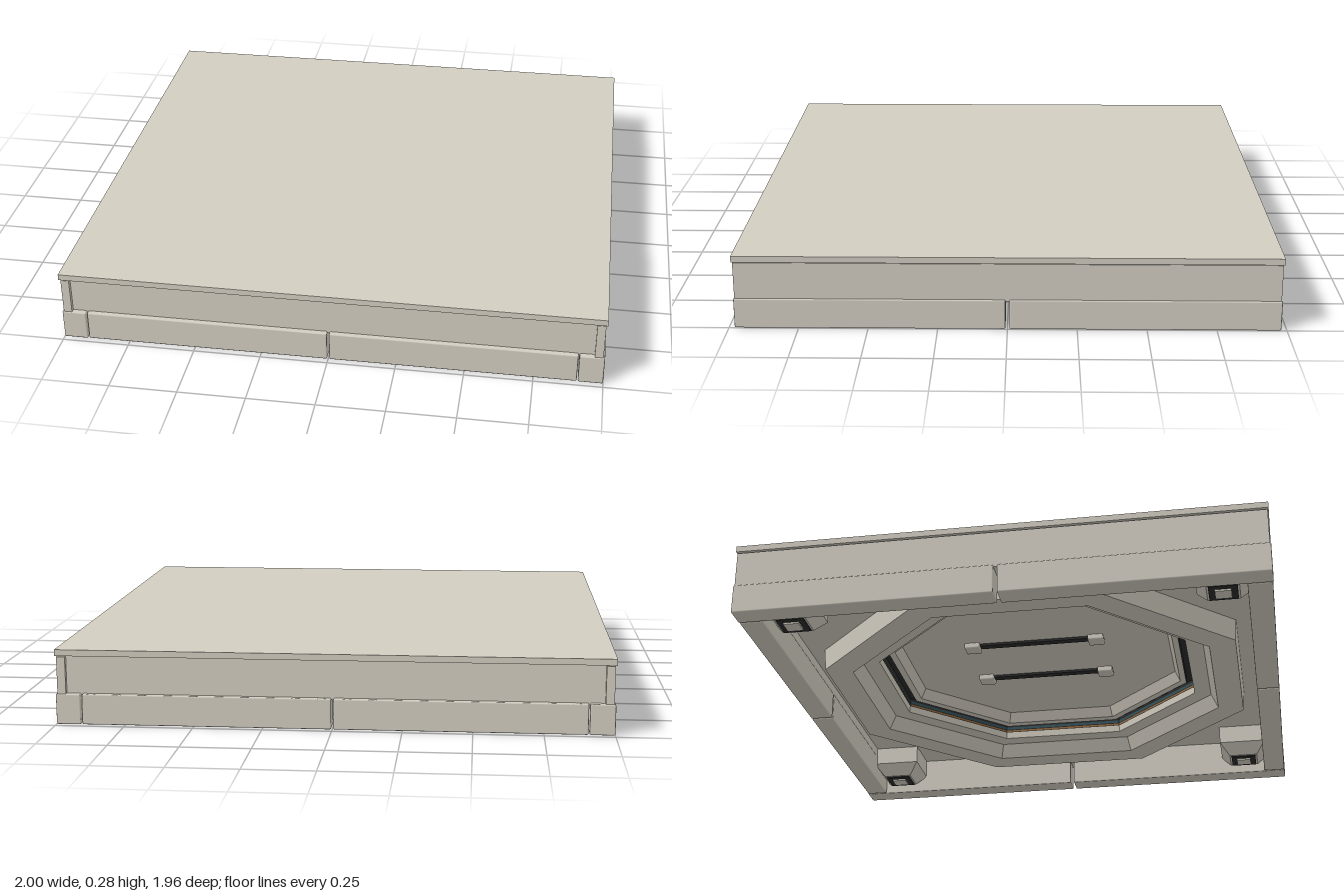
import * as THREE from 'three';
import { RoundedBoxGeometry } from 'three/addons/geometries/RoundedBoxGeometry.js';

const stone = new THREE.MeshStandardMaterial({ name: 'warm grey', color: 0xd2cdc1 });
const dark = new THREE.MeshStandardMaterial({ name: 'dark recess', color: 0x2b2b2b });
const brown = new THREE.MeshStandardMaterial({ name: 'brown trim', color: 0x94683a });
const teal = new THREE.MeshStandardMaterial({ name: 'teal trim', color: 0x35525a });

export function createModel() {
  const model = new THREE.Group();
  model.name = 'floorTile';

  const add = (name, geometry, material, x = 0, y = 0, z = 0) => {
    const mesh = new THREE.Mesh(geometry, material);
    mesh.name = name;
    mesh.position.set(x, y, z);
    model.add(mesh);
    return mesh;
  };
  // box given by its lower and upper corners
  const block = (name, material, [x0, y0, z0], [x1, y1, z1], bevel = 0) => {
    const size = [x1 - x0, y1 - y0, z1 - z0];
    const geometry = bevel
      ? new RoundedBoxGeometry(...size, 1, bevel)
      : new THREE.BoxGeometry(...size);
    return add(name, geometry, material, (x0 + x1) / 2, (y0 + y1) / 2, (z0 + z1) / 2);
  };
  // faceted sweep with flat sides; profile is [distance to side, height], running outward
  const faceted = (name, material, sides, profile, x = 0, z = 0) => {
    const half = Math.PI / sides;
    const points = profile.map(([r, y]) => new THREE.Vector2(r / Math.cos(half), y));
    const geometry = new THREE.LatheGeometry(points, sides, half).toNonIndexed();
    geometry.computeVertexNormals();
    return add(name, geometry, material, x, 0, z);
  };

  // top slab over a narrow shadow gap
  block('topSlab', stone, [-1, 0.252, -0.98], [1, 0.275, 0.98]);
  block('slabNeck', stone, [-0.975, 0.244, -0.945], [0.975, 0.253, 0.945]);

  // body with an octagonal well open to the underside
  const outline = new THREE.Shape();
  outline.moveTo(-0.95, -0.94).lineTo(0.95, -0.94).lineTo(0.95, 0.94).lineTo(-0.95, 0.94).closePath();
  const well = new THREE.Path();
  for (let i = 0; i < 8; i++) {
    const a = -(i + 0.5) * Math.PI / 4;
    const r = 0.75 / Math.cos(Math.PI / 8);
    if (i) well.lineTo(r * Math.cos(a), r * Math.sin(a));
    else well.moveTo(r * Math.cos(a), r * Math.sin(a));
  }
  well.closePath();
  outline.holes.push(well);
  const body = new THREE.ExtrudeGeometry(outline, { depth: 0.095, bevelEnabled: false });
  body.rotateX(-Math.PI / 2);
  add('body', body, stone, 0, 0.15, 0);

  for (const s of [-1, 1]) {
    // upper walls: full-length sides, recessed front and back panels between them
    add('sideWall', new THREE.BoxGeometry(0.031, 0.143, 1.952), stone, s * 0.9785, 0.1765, 0);
    add('innerWall', new THREE.BoxGeometry(0.054, 0.06, 1.85), stone, s * 0.937, 0.135, 0);
    add('endPanel', new THREE.BoxGeometry(1.928, 0.143, 0.07), stone, 0, 0.1765, s * 0.925);

    for (const t of [-1, 1]) {
      // skirt rails, two on each edge with a seam in the middle
      add('sideRail', new RoundedBoxGeometry(0.09, 0.112, 0.973, 1, 0.005), stone, s * 0.955, 0.056, t * 0.4935);
      add('endRail', new RoundedBoxGeometry(0.902, 0.112, 0.09, 1, 0.005), stone, s * 0.455, 0.056, t * 0.933);

      // corner foot, straight then tapered, with a recessed socket
      const x = s * 0.82, z = t * 0.8;
      faceted('cornerFoot', stone, 4, [[0, 0.025], [0.06, 0.025], [0.1, 0.075], [0.1, 0.155]], x, z);
      add('footSocket', new THREE.BoxGeometry(0.106, 0.006, 0.106), dark, x, 0.023, z);
      add('footPin', new THREE.BoxGeometry(0.06, 0.01, 0.06), stone, x, 0.018, z);
    }
  }

  // octagonal underside: recessed panel, bevel, groove, step and hanging ring
  faceted('centrePanel', stone, 8, [[0, 0.213], [0.545, 0.213], [0.565, 0.17], [0.59, 0.165]]);
  faceted('groove', dark, 8, [[0.59, 0.165], [0.592, 0.185], [0.62, 0.185], [0.62, 0.148]]);
  faceted('brownTrim', brown, 8, [[0.618, 0.157], [0.618, 0.15]]);
  faceted('tealTrim', teal, 8, [[0.618, 0.172], [0.618, 0.161]]);
  faceted('hangingRing', stone, 8, [
    [0.62, 0.149], [0.622, 0.12], [0.69, 0.12], [0.718, 0.063], [0.822, 0.063], [0.828, 0.152],
  ]);

  // two slotted bars under the centre panel
  for (const s of [-1, 1]) {
    const x = s * 0.155;
    block('slot', dark, [x - 0.015, 0.203, -0.25], [x + 0.015, 0.213, 0.25]);
    for (const z of [-0.255, 0.255]) {
      block('slotEnd', stone, [x - 0.032, 0.19, z - 0.032], [x + 0.032, 0.214, z + 0.032], 0.006);
    }
  }

  return model;
}
